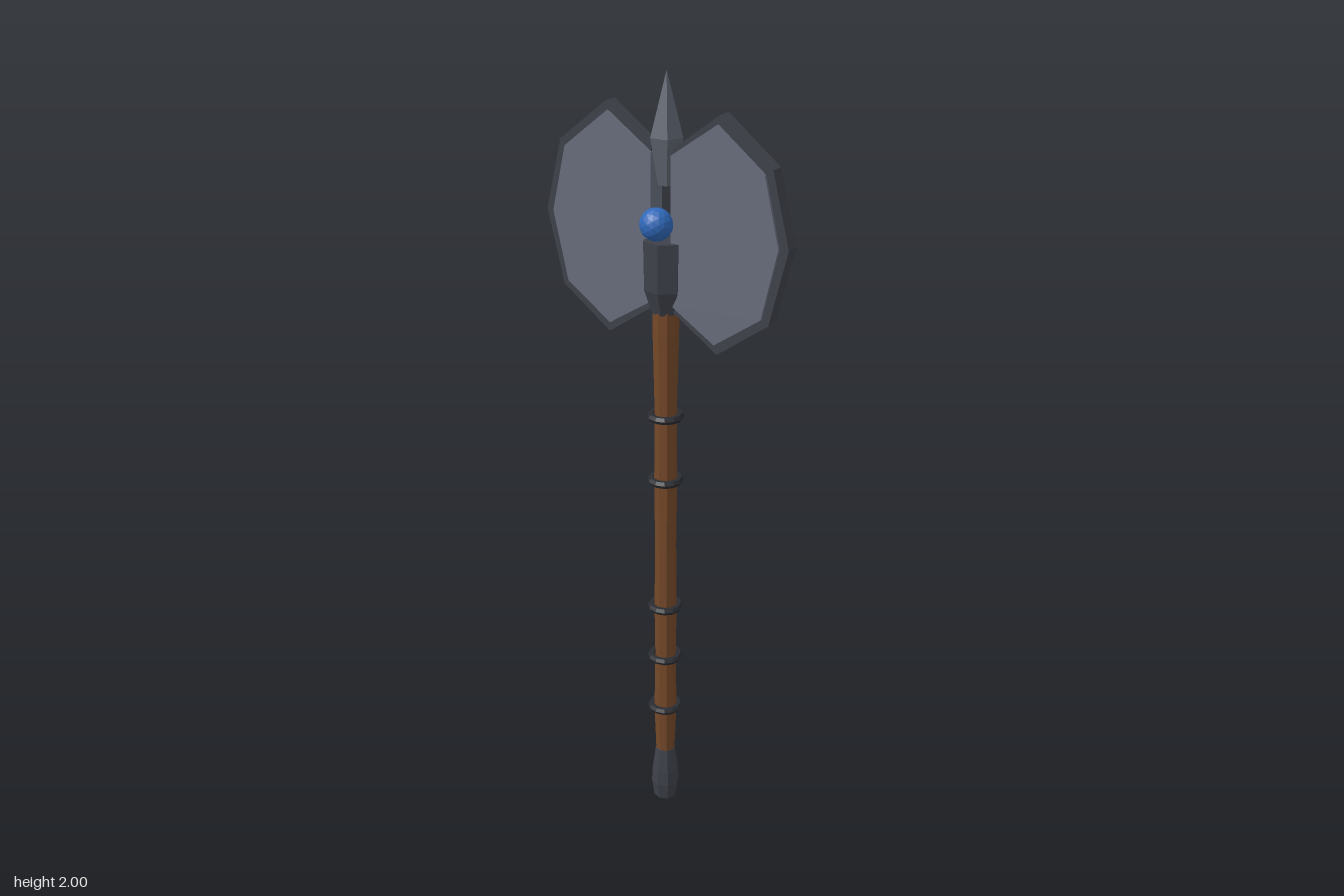
import * as THREE from 'three';

const AXIS_Z = -0.012; // shaft axis sits slightly behind the origin

const mat = (color) => new THREE.MeshStandardMaterial({ color, flatShading: true });

export function createModel() {
  const model = new THREE.Group();
  model.name = 'doubleAxe';
  const wood = mat(0x744828), iron = mat(0x3e414a), band = mat(0x2b2c31);
  const steel = mat(0x676c7b), spikeSteel = mat(0x5c626d), blue = mat(0x2f68b8);

  const add = (name, geometry, material, y = 0, z = AXIS_Z) => {
    const mesh = new THREE.Mesh(geometry, material);
    mesh.name = name;
    mesh.position.set(0, y, z);
    model.add(mesh);
    return mesh;
  };
  // Faceted turned part from [radius, height] pairs, bottom to top
  const turned = (profile, sides, start = 0) =>
    new THREE.LatheGeometry(profile.map(([r, y]) => new THREE.Vector2(r, y)), sides, start);

  // Shaft, gently swelling between the bands
  add('handle', turned([
    [0.025, 0.14], [0.031, 0.3], [0.028, 0.46], [0.030, 0.615], [0.028, 0.8],
    [0.030, 0.985], [0.028, 1.16], [0.033, 1.38], [0.033, 1.5],
  ], 9), wood);

  add('pommel', turned([
    [0, 0], [0.031, 0], [0.038, 0.05], [0.036, 0.09], [0.027, 0.16], [0, 0.16],
  ], 8), iron);

  // Bands round the shaft
  for (const y of [0.3, 0.46, 0.615, 0.985, 1.16]) {
    add('band', new THREE.TorusGeometry(0.037, 0.01, 6, 12).rotateX(Math.PI / 2), band, y);
  }

  // Socket that holds the blades
  add('socket', turned([
    [0, 1.43], [0.034, 1.43], [0.054, 1.49], [0.056, 1.61], [0, 1.61],
  ], 7, Math.PI / 14), iron);

  // Blades: a dark cutting rim with a slightly thicker, smaller plate through it
  const rim = [[0.03, 1.83], [0.155, 1.92], [0.292, 1.815], [0.338, 1.64],
    [0.292, 1.455], [0.155, 1.357], [0.03, 1.44]];
  const plate = [[0.028, 1.815], [0.15, 1.898], [0.275, 1.802], [0.315, 1.64],
    [0.275, 1.468], [0.15, 1.382], [0.028, 1.458]];
  const slab = (points, side, depth) => {
    const shape = new THREE.Shape(points.map(([x, y]) => new THREE.Vector2(side * x, y)));
    return new THREE.ExtrudeGeometry(shape, { depth, bevelEnabled: false })
      .translate(0, 0, -depth / 2);
  };
  for (const [side, label] of [[1, 'left'], [-1, 'right']]) {
    add(label + 'BladeRim', slab(rim, side, 0.035), iron, 0, -0.014);
    add(label + 'BladePlate', slab(plate, side, 0.048), steel, 0, -0.014);
  }

  // Five-sided spike between the blades, one ridge to the back
  add('spike', turned([
    [0, 1.74], [0.021, 1.74], [0.04, 1.85], [0, 2],
  ], 5, Math.PI), spikeSteel, 0, -0.015);

  // Orb in front of the blades
  add('orb', new THREE.IcosahedronGeometry(0.04, 2), blue, 1.655, 0.028);

  return model;
}
